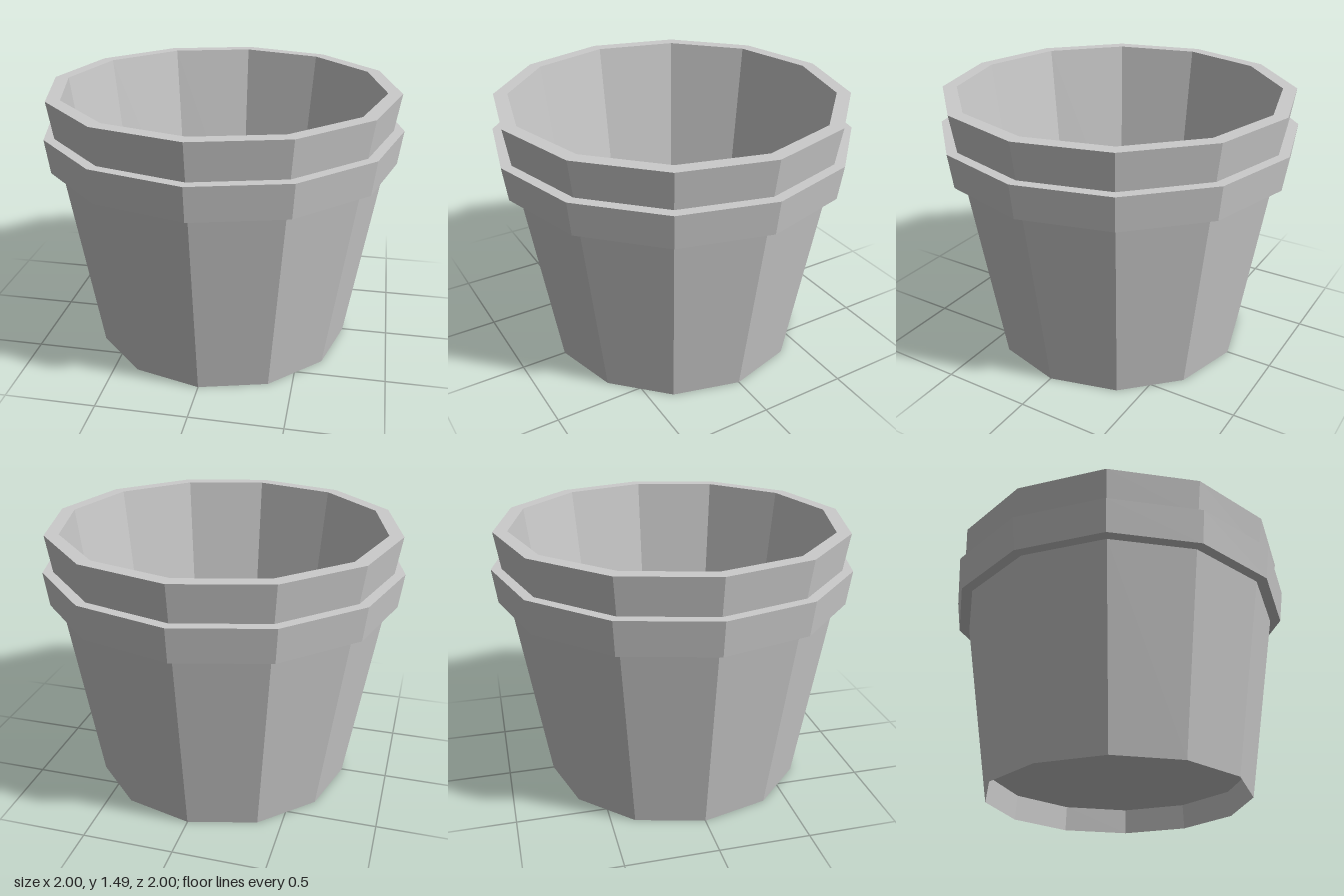
import * as THREE from 'three';

const SIDES = 12;

// Turn a [radius, height] profile into a faceted ring
function turned(name, profile, material) {
  const points = profile.map(([r, y]) => new THREE.Vector2(r, y));
  const mesh = new THREE.Mesh(new THREE.LatheGeometry(points, SIDES), material);
  mesh.name = name;
  return mesh;
}

export function createModel() {
  const group = new THREE.Group();
  group.name = 'flowerPot';
  const clay = new THREE.MeshStandardMaterial({ color: 0xcccccc, flatShading: true });

  // Tapered outer wall, from the foot up to the band
  group.add(turned('outerWall', [[0.74, 0], [0.915, 1.09]], clay));

  // Stepped band: underside, flared face and top ledge
  group.add(turned('band', [[0.915, 1.09], [0.975, 1.09], [1.0, 1.28], [0.943, 1.28]], clay));

  // Upper collar with its flat rim
  group.add(turned('collar', [[0.943, 1.28], [0.975, 1.485], [0.897, 1.485]], clay));

  // Inside wall and floor
  group.add(turned('innerWall', [[0.897, 1.485], [0.727, 0.2]], clay));
  group.add(turned('innerFloor', [[0.727, 0.2], [0, 0.2]], clay));

  // Hollow under the foot
  group.add(turned('footRecess', [[0, 0.145], [0.728, 0.145], [0.74, 0]], clay));

  return group;
}
